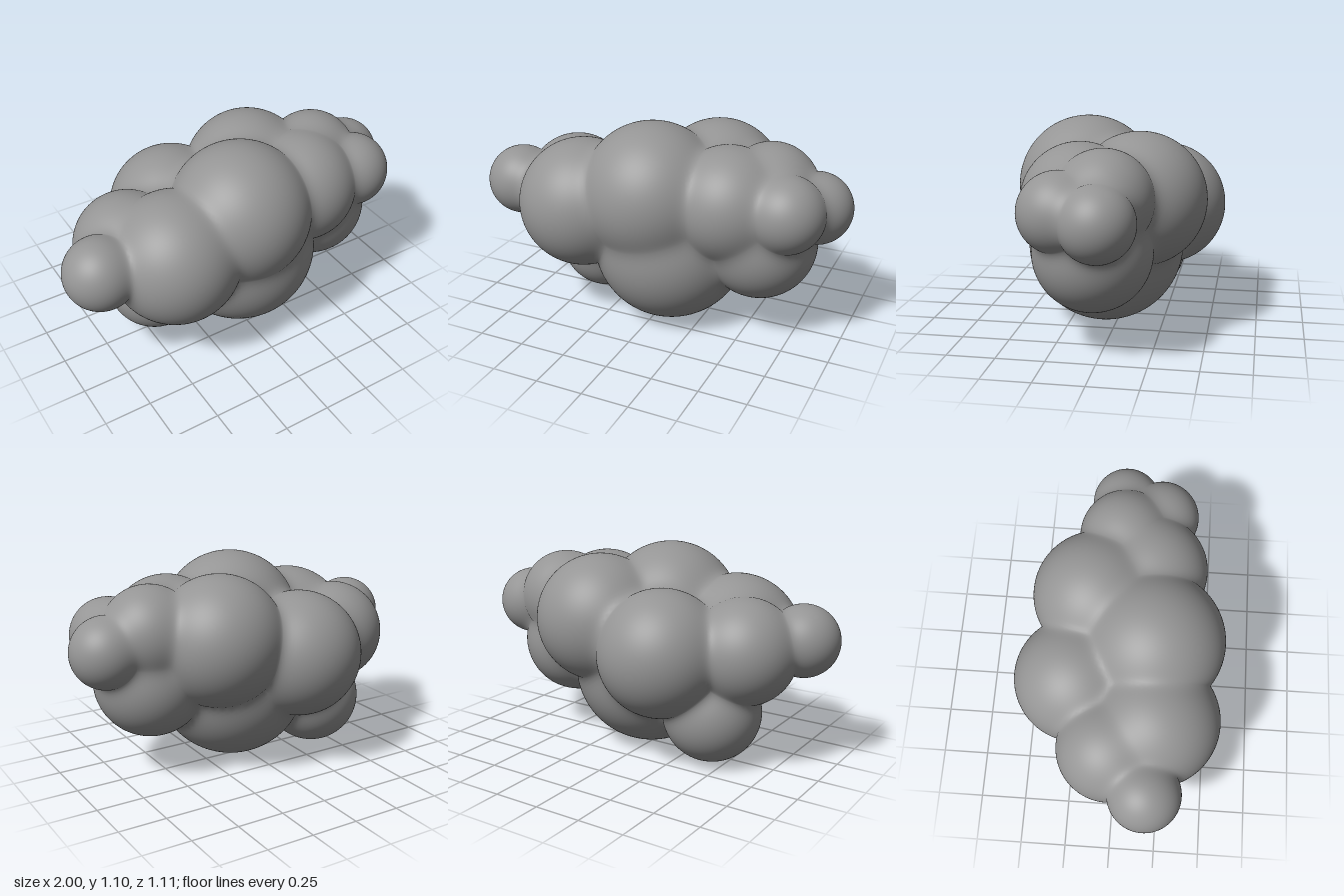
import * as THREE from 'three';

// Puffs of the cloud: name, centre x, y, z, radius
const puffs = [
  ['rightTipPuff', -0.81, 0.67, 0.17, 0.19],
  ['rightFrontPuff', -0.41, 0.62, 0.2, 0.347],
  ['rightBackPuff', -0.57, 0.62, -0.02, 0.28],
  ['rightLowerPuff', -0.41, 0.275, -0.055, 0.262],
  ['crownPuff', -0.01, 0.73, 0.175, 0.376],
  ['basePuff', 0.05, 0.422, 0.07, 0.418],
  ['backPuff', -0.2, 0.6, -0.22, 0.336],
  ['leftBackPuff', 0.24, 0.715, -0.14, 0.346],
  ['leftFrontPuff', 0.4, 0.725, 0.14, 0.302],
  ['leftLowerPuff', 0.545, 0.51, 0.05, 0.3],
  ['leftUpperPuff', 0.575, 0.775, -0.01, 0.25],
  ['leftSmallPuff', 0.715, 0.74, 0.18, 0.2],
  ['leftTipPuff', 0.814, 0.715, -0.02, 0.187],
].map(([name, x, y, z, r]) => ({ name, centre: new THREE.Vector3(x, y, z), r }));

const SOFTNESS = 0.022; // how widely the shading blends across the seams

// Outward direction at a point, mixed from all puffs that are close to it
function blendedNormal(point, target) {
  const away = new THREE.Vector3();
  target.set(0, 0, 0);
  for (const { centre, r } of puffs) {
    away.subVectors(point, centre);
    const weight = Math.exp((r - away.length()) / SOFTNESS);
    target.addScaledVector(away.normalize(), weight);
  }
  return target.normalize();
}

// A ball whose normals turn gently into those of its neighbours
function puffGeometry({ centre, r }) {
  const geometry = new THREE.IcosahedronGeometry(r, 18);
  const { position, normal } = geometry.attributes;
  const p = new THREE.Vector3(), n = new THREE.Vector3();
  for (let i = 0; i < position.count; i++) {
    p.fromBufferAttribute(position, i).add(centre);
    blendedNormal(p, n);
    normal.setXYZ(i, n.x, n.y, n.z);
  }
  return geometry;
}

export function createModel() {
  const cloud = new THREE.Group();
  cloud.name = 'cloud';
  const material = new THREE.MeshStandardMaterial({ color: 0x959595 });
  for (const puff of puffs) {
    const mesh = new THREE.Mesh(puffGeometry(puff), material);
    mesh.name = puff.name;
    mesh.position.copy(puff.centre);
    cloud.add(mesh);
  }
  return cloud;
}
